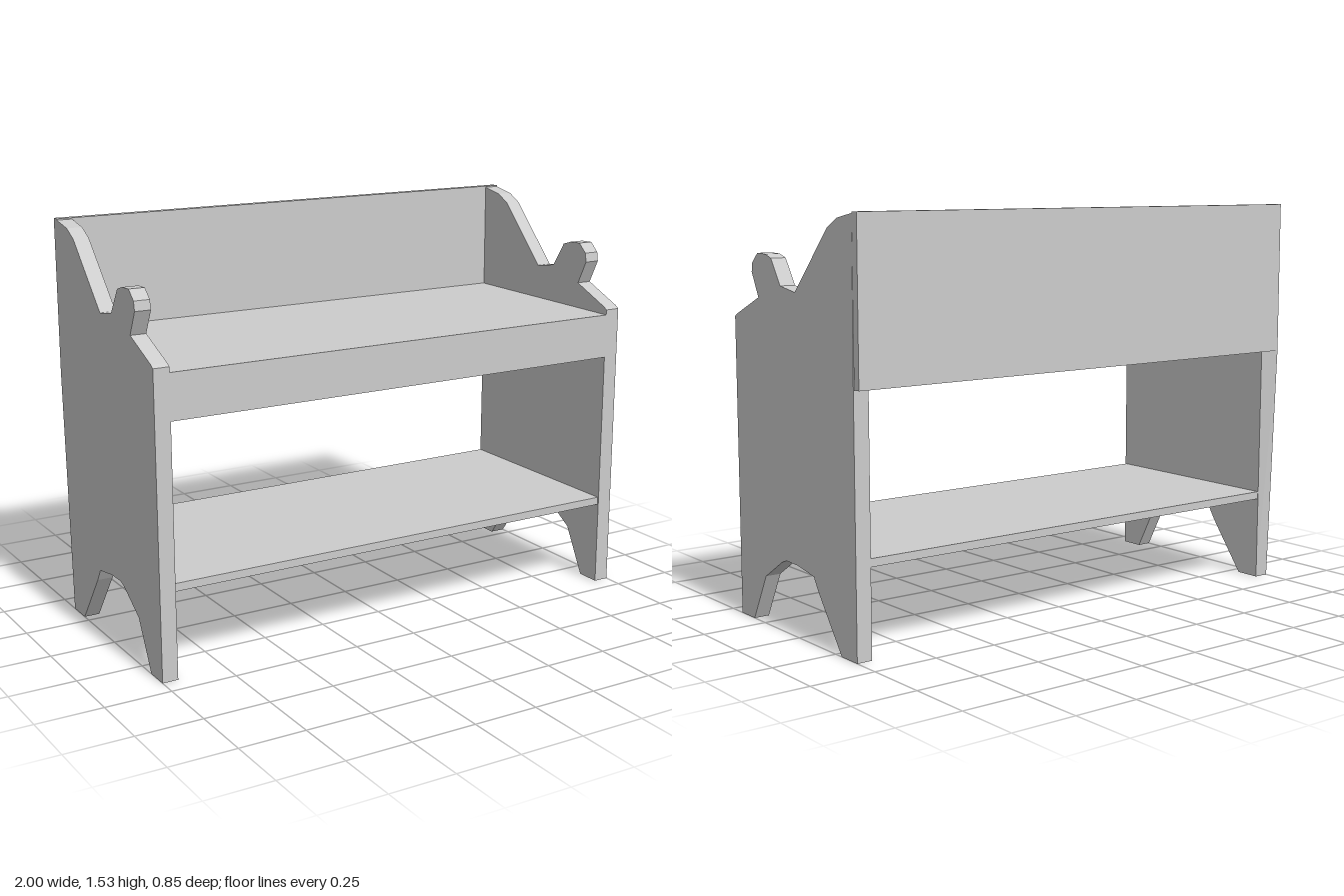
import * as THREE from 'three';

const T = 0.06; // side panel thickness

// Side panel outline as [z, y], from the front foot over the top to the back
const upper = [
  [0.33, 0], [0.425, 0], [0.425, 1.13], [0.41, 1.14], [0.245, 1.21],
  [0.29, 1.3], [0.284, 1.335], [0.245, 1.37], [0.19, 1.368], [0.147, 1.355],
  [0.085, 1.26], [-0.015, 1.243], [-0.24, 1.475], [-0.3, 1.507], [-0.395, 1.525],
];
// Arch between the feet, from back to front
const arch = [
  [-0.39, 0], [-0.29, 0], [-0.14, 0.2], [-0.11, 0.248], [0, 0.266],
  [0.08, 0.268], [0.11, 0.258], [0.235, 0.18],
];

function sideGeometry(backEdge) {
  const points = [...upper, ...backEdge, ...arch].map(([z, y]) => new THREE.Vector2(z, y));
  const geo = new THREE.ExtrudeGeometry(new THREE.Shape(points), { depth: T, bevelEnabled: false });
  return geo.rotateY(-Math.PI / 2);
}

export function createModel() {
  const group = new THREE.Group();
  const grey = new THREE.MeshStandardMaterial({ color: 0xcccccc });
  grey.name = 'plain grey';

  const add = (name, geo) => {
    const mesh = new THREE.Mesh(geo, grey);
    mesh.name = name;
    group.add(mesh);
  };
  // Board given by its limits on each axis
  const board = (name, [x0, x1], [y0, y1], [z0, z1]) => {
    const geo = new THREE.BoxGeometry(x1 - x0, y1 - y0, z1 - z0);
    add(name, geo.translate((x0 + x1) / 2, (y0 + y1) / 2, (z0 + z1) / 2));
  };

  // Left side: straight back edge, stepped in under the back board
  add('leftSide', sideGeometry([[-0.39, 0.94]]).translate(1, 0, 0));

  // Right side: outer face tapers out to meet the back board
  const right = sideGeometry([[-0.395, 0.941], [-0.425, 0.94]]).translate(-1 + T, 0, 0);
  const pos = right.attributes.position;
  for (let i = 0; i < pos.count; i++) {
    if (pos.getX(i) > -0.97 && pos.getZ(i) < -0.4) pos.setZ(i, -0.393);
  }
  right.computeVertexNormals();
  add('rightSide', right);

  // Boards
  const inner = [-1 + T, 1 - T];
  board('backBoard', [-1, 1], [0.94, 1.53], [-0.425, -0.395]);
  board('seat', inner, [1.08, 1.11], [-0.395, 0.42]);
  board('apron', inner, [0.94, 1.11], [0.39, 0.425]);
  board('shelf', inner, [0.328, 0.358], [-0.39, 0.42]);

  return group;
}
